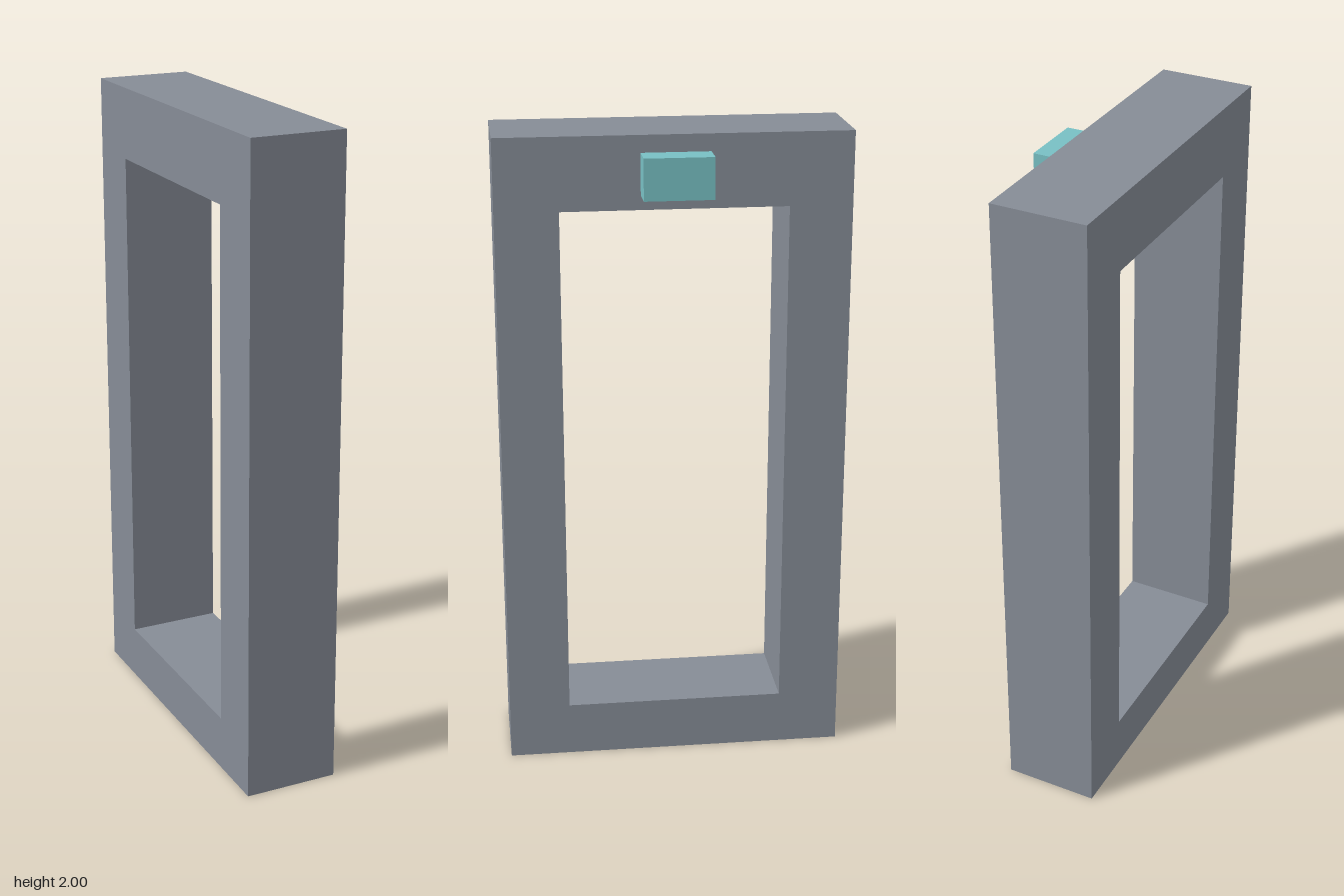
import * as THREE from 'three';

const FRAME_DEPTH = 0.292;

// Adds a closed rectangle outline to a shape or path
function rectangle(path, x0, y0, x1, y1) {
  path.moveTo(x0, y0);
  path.lineTo(x1, y0);
  path.lineTo(x1, y1);
  path.lineTo(x0, y1);
  path.closePath();
  return path;
}

export function createModel() {
  const group = new THREE.Group();
  group.name = 'doorFrame';

  // Upright frame with a rectangular opening, extruded along x
  const outline = rectangle(new THREE.Shape(), -0.53, 0, 0.53, 2);
  outline.holes.push(rectangle(new THREE.Path(), -0.34, 0.17, 0.34, 1.78));
  const frameGeometry = new THREE.ExtrudeGeometry(outline, { depth: FRAME_DEPTH, bevelEnabled: false });
  frameGeometry.rotateY(Math.PI / 2);
  const frame = new THREE.Mesh(frameGeometry, new THREE.MeshStandardMaterial({ color: 0x868c96 }));
  frame.name = 'frame';
  frame.position.x = -0.199;
  group.add(frame);

  // Small block floating just off the lintel
  const block = new THREE.Mesh(
    new THREE.BoxGeometry(0.085, 0.124, 0.206),
    new THREE.MeshStandardMaterial({ color: 0x78c0c4 })
  );
  block.name = 'signalBlock';
  block.position.set(0.155, 1.89, 0);
  group.add(block);

  return group;
}
